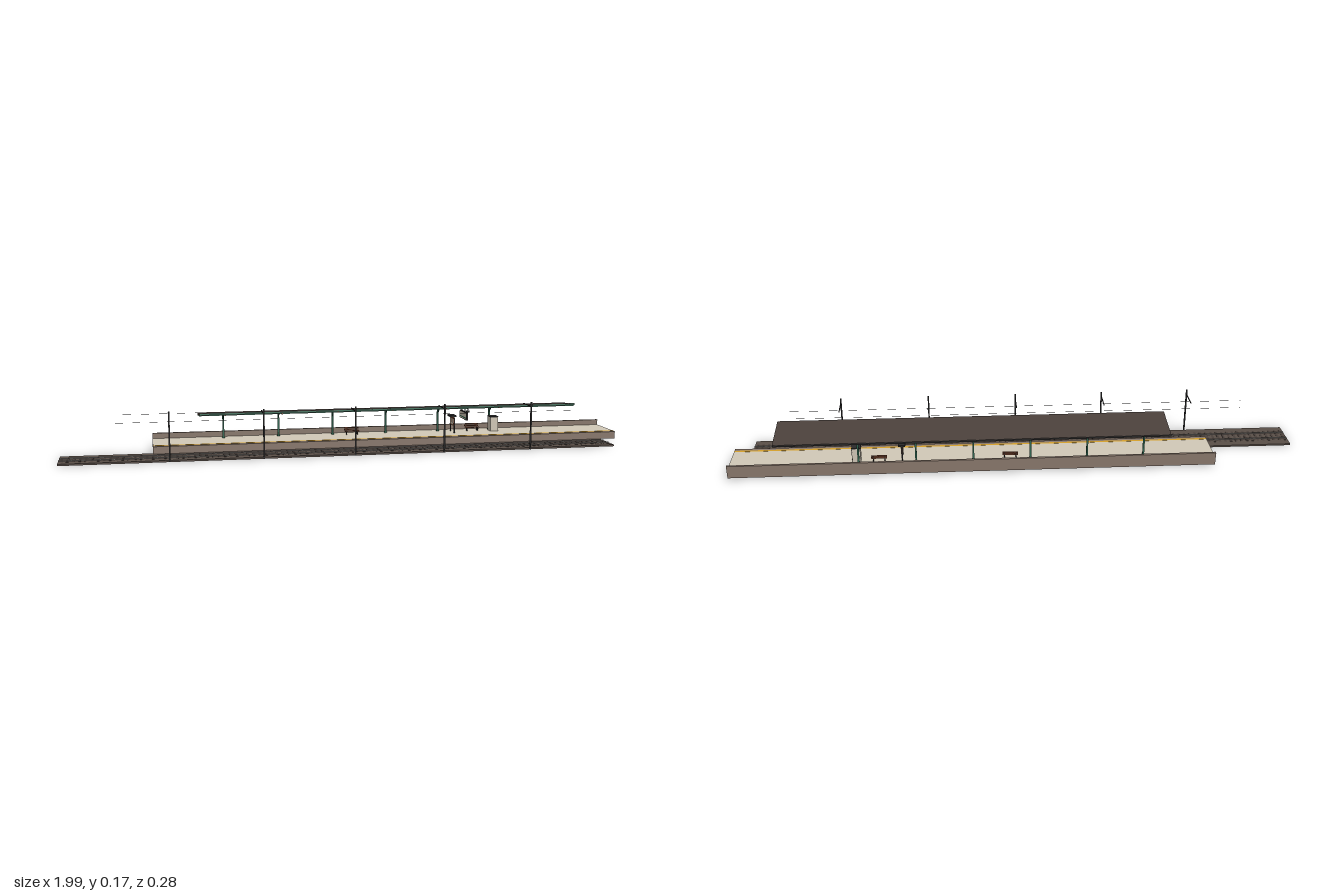
import * as THREE from 'three';

const mat = (name, color) => {
  const m = new THREE.MeshStandardMaterial({ color });
  m.name = name;
  return m;
};

export function createModel() {
  const ballast = mat('ballast', 0x5a4f48);
  const concrete = mat('concrete', 0x8a796d);
  const paving = mat('paving', 0xd2c9b8);
  const yellow = mat('safety yellow', 0xd6a02a);
  const roofing = mat('roofing', 0x4b413c);
  const timber = mat('timber', 0x7a4630);
  const green = mat('painted green', 0x2f6650);
  const black = mat('dark steel', 0x2b2a2b);
  const steel = mat('rail steel', 0x8c8984);

  const model = new THREE.Group();
  const group = (name, parent = model) => {
    const g = new THREE.Group();
    g.name = name;
    parent.add(g);
    return g;
  };
  // Box given by its minimum and maximum on each axis
  const box = (parent, name, m, x0, x1, y0, y1, z0, z1) => {
    const mesh = new THREE.Mesh(new THREE.BoxGeometry(x1 - x0, y1 - y0, z1 - z0), m);
    mesh.position.set((x0 + x1) / 2, (y0 + y1) / 2, (z0 + z1) / 2);
    mesh.name = name;
    parent.add(mesh);
    return mesh;
  };

  // Track: bed, sleepers and two rails
  const track = group('track');
  box(track, 'trackBed', ballast, -1, 0.94, 0.001, 0.007, 0.005, 0.142);
  for (let x = -0.99; x < 0.935; x += 0.02)
    box(track, 'sleeper', roofing, x - 0.004, x + 0.004, 0.006, 0.0078, 0.036, 0.114);
  for (const z of [0.053, 0.096]) {
    box(track, 'rail', steel, -1, 0.94, 0.007, 0.0105, z - 0.0012, z + 0.0012);
  }

  // Platform with coping, warning line and low back wall
  const platform = group('platform');
  const [px0, px1] = [-0.69, 0.995];
  box(platform, 'platformBase', concrete, px0, px1, 0.008, 0.031, -0.139, 0.025);
  box(platform, 'platformCoping', concrete, px0, px1, 0.031, 0.034, -0.139, 0.029);
  box(platform, 'pavedTop', paving, px0, px1, 0.0335, 0.0345, -0.134, 0.005);
  box(platform, 'warningLine', yellow, px0, px1, 0.0335, 0.035, 0.005, 0.014);
  box(platform, 'backWall', concrete, px0, px1, 0.034, 0.051, -0.14, -0.134);
  box(platform, 'wallCap', concrete, px0, px1, 0.051, 0.054, -0.1415, -0.1325);

  // Sloping canopy, built flat and tilted down to the back
  const canopy = group('canopy');
  canopy.position.set(0.1525, 0.131, -0.0555);
  canopy.rotation.x = -0.125;
  const half = 0.6825;
  box(canopy, 'roofSheet', roofing, -half, half, -0.001, 0.003, -0.076, 0.076);
  box(canopy, 'soffit', timber, -half, half, -0.0035, -0.001, -0.074, 0.074);
  box(canopy, 'frontFascia', green, -half, half, -0.004, 0.001, 0.074, 0.0765);
  box(canopy, 'rearFascia', black, -half, half, -0.004, 0.002, -0.0765, -0.074);
  for (const z of [-0.05, 0.02, 0.064])
    box(canopy, 'purlin', green, -half, half, -0.007, -0.0035, z - 0.002, z + 0.002);

  // Posts with rafters and braces
  const frame = group('canopyFrame');
  const postXs = Array.from({ length: 6 }, (_, i) => -0.44 + i * 0.198);
  for (const x of postXs) {
    box(frame, 'post', green, x - 0.003, x + 0.003, 0.034, 0.123, -0.109, -0.103);
    box(frame, 'postFoot', green, x - 0.0045, x + 0.0045, 0.034, 0.039, -0.111, -0.101);
    box(canopy, 'rafter', timber, x - 0.1545, x - 0.1505, -0.008, -0.0035, -0.07, 0.07);
    const brace = box(frame, 'brace', green, x - 0.0015, x + 0.0015, -0.0015, 0.0015, -0.016, 0.016);
    brace.position.set(x, 0.113, -0.093);
    brace.rotation.x = -0.75;
  }
  box(frame, 'longBeam', green, -0.53, 0.835, 0.117, 0.121, -0.108, -0.104);

  // Overhead line: masts with arms, insulator drops and two wires
  const overhead = group('overheadLine');
  for (let i = 0; i < 5; i++) {
    const x = -0.636 + i * 0.315;
    box(overhead, 'mast', black, x - 0.0025, x + 0.0025, 0.001, 0.17, 0.1385, 0.1435);
    box(overhead, 'mastArm', black, x - 0.0015, x + 0.0015, 0.1525, 0.1555, 0.06, 0.141);
  }
  for (const y of [0.126, 0.154]) {
    const wire = new THREE.Mesh(new THREE.CylinderGeometry(0.0004, 0.0004, 1.62, 6), black);
    wire.rotation.z = Math.PI / 2;
    wire.position.set(-0.01, y, 0.073);
    wire.name = 'wire';
    overhead.add(wire);
  }

  // Slatted benches facing the track
  for (const x of [0.025, 0.48]) {
    const bench = group('bench');
    bench.position.set(x, 0.034, -0.09);
    for (let i = 0; i < 3; i++) {
      const z = -0.006 + i * 0.006;
      box(bench, 'seatSlat', timber, -0.027, 0.027, 0.012, 0.0142, z - 0.002, z + 0.002);
    }
    for (const y of [0.018, 0.024])
      box(bench, 'backSlat', timber, -0.027, 0.027, y - 0.002, y + 0.002, -0.011, -0.009);
    for (const s of [-0.02, 0.02]) {
      box(bench, 'benchLeg', black, s - 0.0012, s + 0.0012, 0, 0.012, -0.008, 0.007);
      box(bench, 'benchBack', black, s - 0.0012, s + 0.0012, 0.008, 0.026, -0.0125, -0.011);
    }
  }

  // Vending machine, its display facing along the platform
  const vending = group('vendingMachine');
  box(vending, 'cabinet', paving, 0.543, 0.572, 0.034, 0.086, -0.099, -0.064);
  box(vending, 'cabinetTop', black, 0.542, 0.573, 0.086, 0.089, -0.1, -0.063);
  for (const y of [0.065, 0.075]) {
    box(vending, 'shelf', black, 0.572, 0.5735, y - 0.004, y - 0.003, -0.096, -0.067);
    for (let i = 0; i < 6; i++) {
      const z = -0.094 + i * 0.005;
      box(vending, 'bottle', black, 0.572, 0.574, y - 0.003, y + 0.004, z - 0.0013, z + 0.0013);
    }
  }
  box(vending, 'deliverySlot', black, 0.572, 0.5735, 0.041, 0.048, -0.094, -0.07);
  box(vending, 'coinPanel', steel, 0.572, 0.5735, 0.052, 0.058, -0.074, -0.067);

  // Notice board on two legs
  const board = group('noticeBoard');
  for (const z of [-0.049, -0.099])
    box(board, 'boardLeg', black, 0.398, 0.402, 0.034, 0.092, z - 0.0015, z + 0.0015);
  box(board, 'boardPanel', timber, 0.397, 0.403, 0.061, 0.09, -0.098, -0.05);
  box(board, 'boardHood', black, 0.388, 0.412, 0.091, 0.097, -0.102, -0.066);
  for (const s of [-1, 1])
    for (const z of [-0.062, -0.084])
      box(board, 'notice', paving, 0.4 + s * 0.0035 - 0.0006, 0.4 + s * 0.0035 + 0.0006,
        0.065, 0.086, z - 0.008, z + 0.008);

  // Hanging direction sign
  const sign = group('hangingSign');
  box(sign, 'signFrame', black, 0.427, 0.433, 0.089, 0.117, -0.074, 0.009);
  for (const s of [-1, 1]) {
    const x = 0.43 + s * 0.0033;
    box(sign, 'signFace', paving, x - 0.0005, x + 0.0005, 0.0915, 0.1145, -0.0715, 0.0065);
    box(sign, 'signStripe', green, x - 0.0008, x + 0.0008, 0.095, 0.099, -0.0715, 0.0065);
  }
  for (const z of [-0.055, -0.018])
    box(sign, 'signHanger', black, 0.429, 0.431, 0.116, 0.132, z - 0.001, z + 0.001);

  // Loudspeaker under the front edge
  const speaker = group('loudspeaker');
  box(speaker, 'speakerBox', black, 0.424, 0.436, 0.12, 0.127, 0.015, 0.02);
  box(speaker, 'speakerStem', black, 0.429, 0.431, 0.127, 0.135, 0.0165, 0.0185);

  return model;
}
